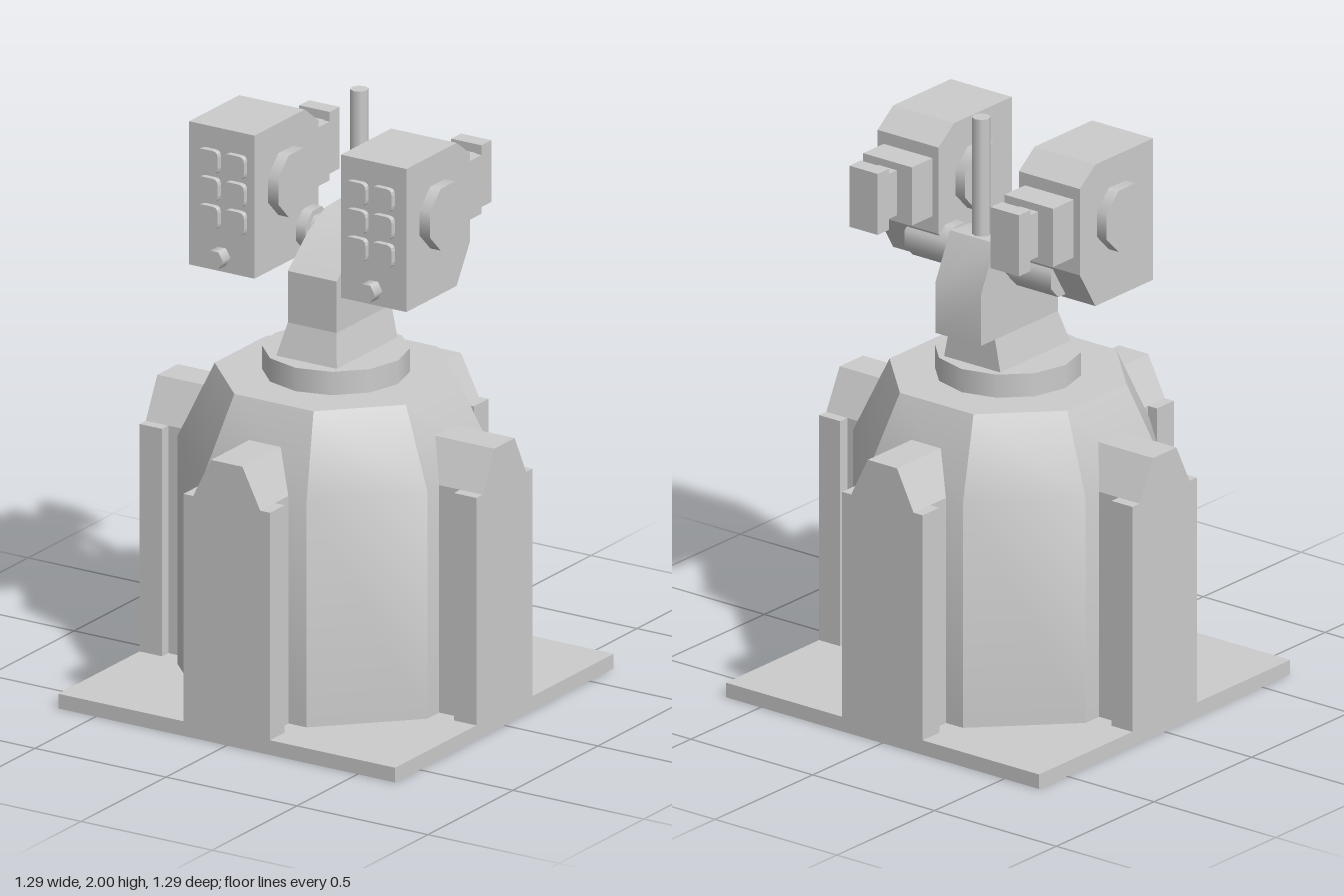
import * as THREE from 'three';
import { toCreasedNormals } from 'three/addons/utils/BufferGeometryUtils.js';

const material = new THREE.MeshStandardMaterial({ color: 0xcccccc });
const openMaterial = new THREE.MeshStandardMaterial({ color: 0xcccccc, side: THREE.DoubleSide });
const OCT = 1 / Math.cos(Math.PI / 8); // flat-to-corner ratio of an octagon

function add(parent, name, geometry, x = 0, y = 0, z = 0) {
  const mesh = new THREE.Mesh(geometry, material);
  mesh.name = name;
  mesh.position.set(x, y, z);
  parent.add(mesh);
  return mesh;
}

// Box given by its limits on each axis
function box(parent, name, [x0, x1], [y0, y1], [z0, z1]) {
  return add(parent, name, new THREE.BoxGeometry(x1 - x0, y1 - y0, z1 - z0),
    (x0 + x1) / 2, (y0 + y1) / 2, (z0 + z1) / 2);
}

function extrude(points, depth) {
  const shape = new THREE.Shape(points.map(p => new THREE.Vector2(...p)));
  return new THREE.ExtrudeGeometry(shape, { depth, bevelEnabled: false });
}

// Side profile of [z, y] points, extruded along x and centred
function sideExtrude(points, width) {
  const g = extrude(points, width);
  g.translate(0, 0, -width / 2).rotateY(-Math.PI / 2);
  return toCreasedNormals(g, 0.55);
}

// Many-sided lathe of [flat radius, y] points with one flat side to the front
function prism(points, sides) {
  const toCorner = 1 / Math.cos(Math.PI / sides);
  const outline = points.map(([r, y]) => new THREE.Vector2(r * toCorner, y));
  return toCreasedNormals(new THREE.LatheGeometry(outline, sides, Math.PI / sides), 0.55);
}

// Smooth octagonal cylinder lying along x between two limits
function rod(parent, name, flatRadius, x0, x1, y, z) {
  const r = flatRadius * OCT;
  const g = new THREE.CylinderGeometry(r, r, x1 - x0, 8, 1, false, Math.PI / 8);
  return add(parent, name, g.rotateZ(Math.PI / 2), (x0 + x1) / 2, y, z);
}

// Small square key with rounded corners
function keyGeometry(half, r, depth) {
  const s = new THREE.Shape();
  s.moveTo(-half + r, -half);
  s.lineTo(half - r, -half).quadraticCurveTo(half, -half, half, -half + r);
  s.lineTo(half, half - r).quadraticCurveTo(half, half, half - r, half);
  s.lineTo(-half + r, half).quadraticCurveTo(-half, half, -half, half - r);
  s.lineTo(-half, -half + r).quadraticCurveTo(-half, -half, -half + r, -half);
  return new THREE.ExtrudeGeometry(s, { depth, bevelEnabled: false, curveSegments: 3 });
}

// Buttress on the +z side: gabled block with a flange on each outer edge
function createButtress() {
  const g = new THREE.Group();
  g.name = 'buttress';
  const profile = [[-0.128, 0.05], [0.128, 0.05], [0.128, 0.824], [0.06, 0.96], [-0.06, 0.96], [-0.128, 0.824]];
  add(g, 'buttressBlock', extrude(profile, 0.243), 0, 0, 0.4);
  for (const s of [-1, 1]) {
    const flange = box(g, 'buttressFlange', [0.128, 0.165], [0.05, 0.824], [0.557, 0.643]);
    flange.position.x *= s;
  }
  return g;
}

// Launcher pod, centred on its own x = 0
function createPod(side) {
  const g = new THREE.Group();
  g.name = side > 0 ? 'leftPod' : 'rightPod';
  const profile = [[-0.07, 1.43], [-0.15, 1.56], [-0.15, 1.857], [-0.07, 1.917], [0.225, 1.917], [0.225, 1.43]];
  add(g, 'podHousing', sideExtrude(profile, 0.25));
  rod(g, 'podSideDiscs', 0.105, -0.165, 0.165, 1.71, 0.042);

  // rear exhaust blocks
  box(g, 'rearBlock', [-0.1, 0.1], [1.615, 1.815], [-0.255, -0.14]);
  box(g, 'rearNeck', [-0.038, 0.038], [1.635, 1.79], [-0.325, -0.25]);
  box(g, 'rearCap', [-0.058, 0.058], [1.61, 1.82], [-0.378, -0.32]);

  // launch tube covers and sight
  for (const x of [-0.058, 0.042])
    for (const y of [1.613, 1.708, 1.803])
      add(g, 'tubeCover', keyGeometry(0.039, 0.02, 0.025), side * x, y, 0.22);
  const sight = new THREE.CylinderGeometry(0.033, 0.033, 0.05, 6, 1, false, Math.PI / 6);
  add(g, 'sight', sight.rotateX(Math.PI / 2), 0, 1.483, 0.245);
  g.position.x = side * 0.29;
  return g;
}

export function createModel() {
  const model = new THREE.Group();
  model.name = 'turret';

  // Ground plate, hollow and open underneath
  const plate = add(model, 'basePlate', prism([[0.643, 0], [0.643, 0.05], [0, 0.05]], 4));
  plate.material = openMaterial;

  // Octagonal tower with four buttresses
  add(model, 'tower', prism([[0.477, 0.05], [0.477, 0.825], [0.365, 1.083], [0, 1.083]], 8));
  for (let i = 0; i < 4; i++) {
    const buttress = createButtress();
    buttress.rotation.y = i * Math.PI / 2;
    model.add(buttress);
  }

  // Turntable ring
  add(model, 'turntable', new THREE.CylinderGeometry(0.237, 0.237, 0.085, 12), 0, 1.12, 0);

  // Flared foot of the neck: a box narrowed towards its top and front
  const foot = new THREE.BoxGeometry(0.236, 0.12, 0.36);
  const p = foot.attributes.position;
  for (let i = 0; i < p.count; i++) {
    if (p.getY(i) < 0) continue;
    p.setX(i, Math.sign(p.getX(i)) * 0.093);
    if (p.getZ(i) > 0) p.setZ(i, p.getZ(i) - 0.037);
  }
  foot.computeVertexNormals();
  add(model, 'neckFoot', foot, 0, 1.21, -0.003);

  // Neck with sloping head and rear overhang
  const neck = [[-0.255, 1.27], [0.14, 1.27], [0.14, 1.445], [0.02, 1.545], [-0.08, 1.595],
    [-0.18, 1.6], [-0.255, 1.445]];
  add(model, 'neck', sideExtrude(neck, 0.186));
  add(model, 'antenna', new THREE.CylinderGeometry(0.03, 0.03, 0.45, 8), 0, 1.775, -0.137);

  // Axle and the thicker sleeves that run into the pods and show below their rear edge
  rod(model, 'axle', 0.05, -0.2, 0.2, 1.513, -0.087);
  for (const s of [-1, 1]) {
    const sleeve = rod(model, 'axleSleeve', 0.068, 0.128, 0.3, 1.514, -0.087);
    sleeve.position.x *= s;
    model.add(createPod(s));
  }
  return model;
}
